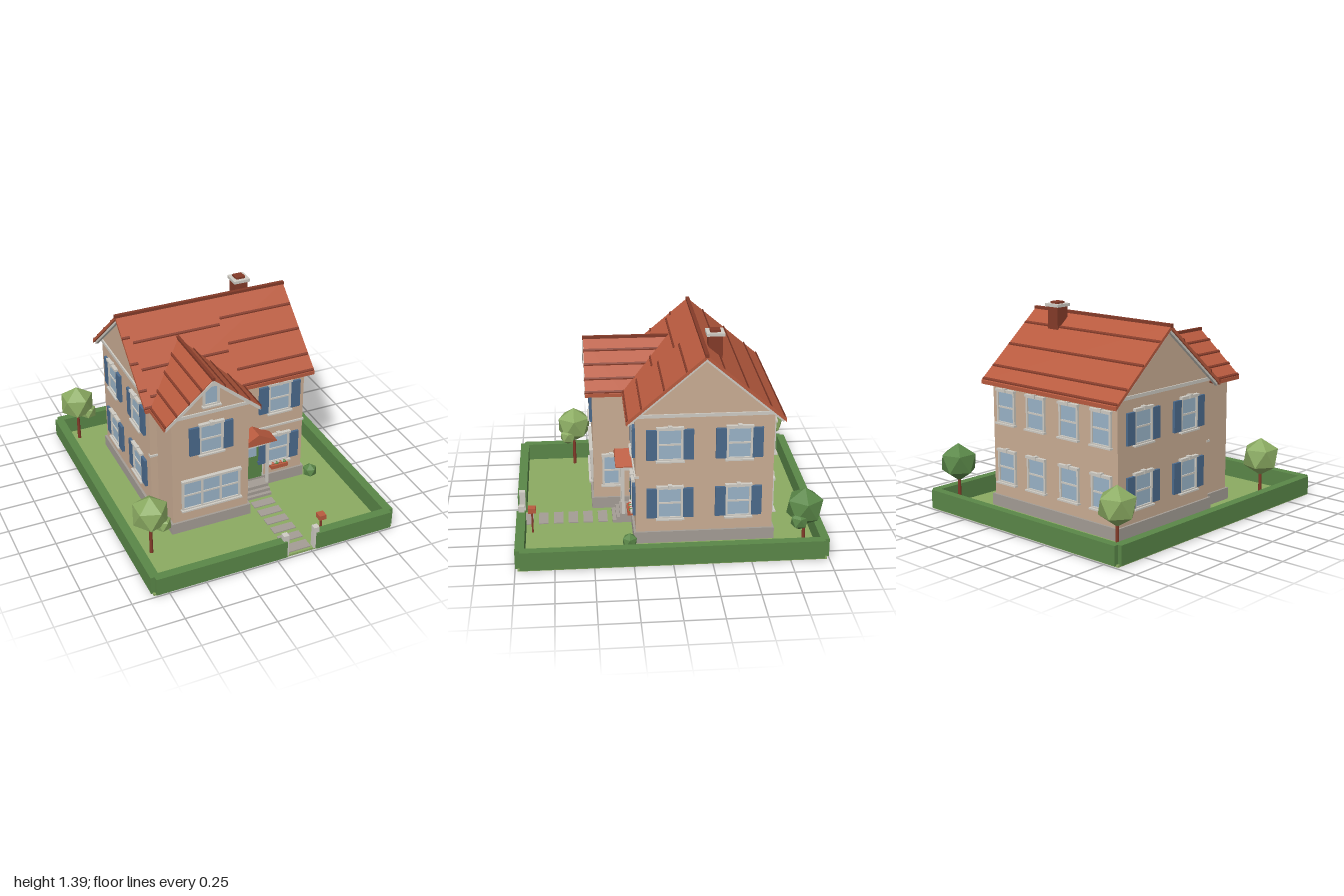
import * as THREE from 'three';

const mat = (name, color) => { const m = new THREE.MeshStandardMaterial({ color }); m.name = name; return m; };

export function createModel() {
  const M = {
    wall: mat('wall tan', 0xcaad94), trim: mat('trim white', 0xcfccc4), glass: mat('glass blue', 0x9ab4c8),
    shutter: mat('shutter blue', 0x4b6a8c), roof: mat('roof terracotta', 0xb95b3f), brick: mat('dark brick', 0x843b29),
    leaf: mat('hedge green', 0x5a8748), lawn: mat('lawn green', 0x8bab62), stone: mat('stone grey', 0xa49d95),
  };
  const model = new THREE.Group();
  model.name = 'house';
  const group = (name, parent = model) => { const g = new THREE.Group(); g.name = name; parent.add(g); return g; };
  const add = (parent, name, geo, m) => { const o = new THREE.Mesh(geo, m); o.name = name; parent.add(o); return o; };
  // box given by its min and max on each axis
  const box = (p, name, m, x0, x1, y0, y1, z0, z1) => {
    const o = add(p, name, new THREE.BoxGeometry(x1 - x0, y1 - y0, z1 - z0), m);
    o.position.set((x0 + x1) / 2, (y0 + y1) / 2, (z0 + z1) / 2);
    return o;
  };
  // sloped four-cornered slab: top corners, extended straight down by drop
  const slab = (p, name, m, corners, drop) => {
    let q = corners.map(c => new THREE.Vector3(...c));
    const n = q[1].clone().sub(q[0]).cross(q[2].clone().sub(q[0]));
    if (n.y < 0) q.reverse();
    const v = [...q, ...q.map(c => new THREE.Vector3(c.x, c.y - drop, c.z))];
    const idx = [0, 1, 2, 0, 2, 3, 4, 6, 5, 4, 7, 6];
    for (let i = 0; i < 4; i++) { const j = (i + 1) % 4; idx.push(i, i + 4, j + 4, i, j + 4, j); }
    const g = new THREE.BufferGeometry().setFromPoints(idx.map(i => v[i]));
    g.computeVertexNormals();
    return add(p, name, g, m);
  };
  // five-sided gable wall block, extruded along z
  const gable = (half, low, eave, apex, depth) => new THREE.ExtrudeGeometry(new THREE.Shape([
    [-half, low], [half, low], [half, eave], [0, apex], [-half, eave]].map(a => new THREE.Vector2(...a))),
  { depth, bevelEnabled: false });

  // Garden
  const garden = group('garden');
  box(garden, 'lawn', M.lawn, -0.85, 0.85, 0, 0.015, -0.985, 0.985);
  for (const s of [-1, 1]) box(garden, 'sideHedge', M.leaf, s * 0.832 - 0.03, s * 0.832 + 0.03, 0.01, 0.135, -0.97, 0.97);
  box(garden, 'backHedge', M.leaf, -0.835, 0.835, 0.01, 0.135, -1, -0.945);
  box(garden, 'frontHedge', M.leaf, -0.835, 0.068, 0.01, 0.135, 0.94, 1);
  box(garden, 'frontHedge', M.leaf, 0.28, 0.835, 0.01, 0.135, 0.94, 1);
  for (const x of [0.065, 0.283]) box(garden, 'gatePost', M.trim, x - 0.019, x + 0.019, 0.01, 0.175, 0.948, 0.988);
  for (let i = 0; i < 6; i++) box(garden, 'pathSlab', M.stone, 0.095, 0.254, 0.01, 0.022, 0.393 + i * 0.1, 0.457 + i * 0.1 + (i === 5 ? 0.012 : 0));
  box(garden, 'mailboxPost', M.brick, 0.355, 0.367, 0.01, 0.17, 0.89, 0.902);
  box(garden, 'mailbox', M.roof, 0.337, 0.386, 0.165, 0.2, 0.87, 0.922);

  // Trees: faceted crowns with a point upward
  const crown = (p, m, x, y, z, r) => {
    const g = new THREE.IcosahedronGeometry(r, 0).rotateZ(-Math.atan(2 / (1 + Math.sqrt(5))));
    add(p, 'crown', g, m).position.set(x, y, z);
  };
  for (const [x, z, y, m, bx] of [[-0.715, 0.6, 0.328, M.lawn, 0.065], [-0.72, -0.85, 0.32, M.lawn, 0.065],
    [0.725, -0.85, 0.32, M.leaf, 0.07]]) {
    const t = group('tree');
    add(t, 'trunk', new THREE.CylinderGeometry(0.01, 0.013, 0.24, 7), M.brick).position.set(x, 0.13, z);
    crown(t, m, x, y, z, 0.13);
    crown(t, m, x + bx, y - 0.065, z + 0.045, 0.062);
  }
  crown(group('bush'), M.leaf, 0.615, 0.06, 0.265, 0.053);

  // House walls and foundation
  const house = group('walls');
  box(house, 'foundation', M.stone, -0.575, 0.575, 0.01, 0.095, -0.685, 0.235);
  box(house, 'wingFoundation', M.stone, -0.525, 0.045, 0.01, 0.095, 0.1, 0.492);
  const main = add(house, 'mainWalls', gable(0.445, 0.09, 0.907, 1.285, 1.12), M.wall);
  main.rotation.y = Math.PI / 2;
  main.position.set(-0.56, 0, -0.225);
  add(house, 'wingWalls', gable(0.27, 0.09, 0.908, 1.135, 0.377), M.wall).position.set(-0.24, 0, 0.1);
  box(house, 'beltCourse', M.trim, -0.565, 0.565, 0.478, 0.492, 0.2, 0.23);
  for (const s of [-1, 1]) box(house, 'gableBand', M.trim, s * 0.563 - 0.007, s * 0.563 + 0.007, 0.895, 0.917, -0.67, 0.22);
  box(house, 'wingGableBand', M.trim, -0.51, 0.03, 0.893, 0.915, 0.47, 0.486);

  // Main roof with raised courses
  const roof = group('mainRoof');
  const top = z => 1.315 - 0.85 * Math.abs(z + 0.225);
  const strip = (p, name, m, x0, x1, z0, z1, lift, drop) => slab(p, name, m,
    [[x0, top(z0) + lift, z0], [x1, top(z0) + lift, z0], [x1, top(z1) + lift, z1], [x0, top(z1) + lift, z1]], drop);
  strip(roof, 'frontSlope', M.roof, -0.607, 0.605, -0.225, 0.28, 0, 0.025);
  strip(roof, 'backSlope', M.roof, -0.607, 0.605, -0.735, -0.225, 0, 0.025);
  for (const z of [-0.335, -0.487, -0.635, -0.725]) strip(roof, 'course', M.brick, -0.605, 0.6, z - 0.005, z + 0.005, 0.008, 0.02);
  for (const z of [-0.1, 0.04, 0.183, 0.272]) {
    strip(roof, 'course', M.brick, -0.607, -0.555, z - 0.005, z + 0.005, 0.008, 0.02);
    strip(roof, 'course', M.brick, 0.08, 0.602, z - 0.005, z + 0.005, 0.008, 0.02);
  }
  for (const z of [-0.068, 0.078, 0.22]) strip(roof, 'course', M.brick, -0.545, z < 0.1 ? 0.065 : -0.45, z - 0.005, z + 0.005, 0.008, 0.02);
  box(roof, 'ridgeCap', M.brick, -0.612, 0.61, 1.3, 1.324, -0.237, -0.213);
  for (const s of [-1, 1]) {
    const [a, b] = s > 0 ? [0.57, 0.595] : [-0.595, -0.57];
    strip(roof, 'rakeBoard', M.trim, a, b, -0.225, 0.265, -0.022, 0.022);
    strip(roof, 'rakeBoard', M.trim, a, b, -0.72, -0.225, -0.022, 0.022);
  }

  // Wing roof, cut along the valleys
  const wing = group('wingRoof');
  const wy = d => 1.165 - 0.84 * d;
  const run = (name, m, s, d0, d1, z, back, lift, drop) => slab(wing, name, m,
    [[d0, z], [d1, z], [d1, back(d1)], [d0, back(d0)]].map(([d, zz]) => [-0.24 + s * d, wy(d) + lift, zz]), drop);
  const valley = d => -0.06 + d;
  for (const s of [-1, 1]) {
    run('slope', M.roof, s, 0, 0.335, 0.522, valley, 0, 0.025);
    for (const d of [0.08, 0.165, 0.25, 0.328]) run('course', M.brick, s, d - 0.005, d + 0.005, 0.524, valley, 0.008, 0.02);
    run('rakeBoard', M.trim, s, 0, 0.325, 0.527, () => 0.5, -0.008, 0.026);
  }
  box(wing, 'ridgeCap', M.brick, -0.25, -0.23, 1.152, 1.176, -0.06, 0.527);

  // Chimney
  const chimney = group('chimney');
  const stack = (name, m, h, y0, y1) => box(chimney, name, m, 0.313 - h, 0.313 + h, y0, y1, -0.307 - h, -0.307 + h);
  stack('stack', M.brick, 0.046, 1.1, 1.36);
  stack('cap', M.trim, 0.058, 1.356, 1.376);
  stack('flue', M.brick, 0.033, 1.37, 1.39);

  // Windows: local front is +z; n panes side by side
  const win = (pos, ry, { w = 0.14, h = 0.2, n = 1, shutters = false, header = true } = {}) => {
    const g = group('window');
    g.position.set(...pos);
    g.rotation.y = ry;
    const W = n * (w + 0.014) - 0.014, b = 0.014;
    box(g, 'glass', M.glass, -W / 2, W / 2, -h / 2, h / 2, 0, 0.006);
    for (let i = 0; i <= n; i++) {
      const x = -W / 2 - b + i * (w + b);
      box(g, 'frameSide', M.trim, x, x + b, -h / 2, h / 2, 0, 0.016);
    }
    for (const s of [-1, 1]) box(g, 'frameRail', M.trim, -W / 2 - b, W / 2 + b, s * (h / 2 + 0.005) - 0.006, s * (h / 2 + 0.005) + 0.006, 0, 0.016);
    if (header) {
      box(g, 'crossBar', M.trim, -W / 2, W / 2, -0.006, 0.006, 0, 0.012);
      box(g, 'header', M.trim, -W / 2 - 0.018, W / 2 + 0.018, h / 2 + 0.006, h / 2 + 0.022, 0, 0.025);
      if (n === 1) box(g, 'keystone', M.trim, -0.013, 0.013, h / 2 + 0.004, h / 2 + 0.03, 0, 0.03);
    }
    box(g, 'sill', M.trim, -W / 2 - 0.022, W / 2 + 0.022, -h / 2 - 0.019, -h / 2 - 0.008, 0, 0.03);
    if (shutters) for (const s of [-1, 1]) {
      const c = s * (W / 2 + b + 0.034);
      box(g, 'shutter', M.shutter, c - 0.034, c + 0.034, -0.103, 0.103, 0, 0.018);
    }
  };
  const LOW = 0.3, UP = 0.71, F = 0.22;
  win([-0.24, UP, 0.477], 0, { shutters: true });
  win([-0.24, LOW, 0.477], 0, { w: 0.12, n: 3 });
  win([-0.24, 1.032, 0.477], 0, { w: 0.084, h: 0.125, header: false });
  win([0.03, LOW, 0.355], Math.PI / 2, { w: 0.095 });
  for (const y of [LOW, UP]) {
    win([0.375, y, F], 0, { shutters: true });
    for (const s of [-1, 1]) for (const z of [0, -0.445]) win([s * 0.56, y, z], s * Math.PI / 2, { shutters: true });
    for (const x of [-0.43, -0.15, 0.15, 0.43]) win([x, y, -0.67], Math.PI);
  }

  // Entrance: door, steps, columns and little gabled canopy
  const porch = group('porch');
  box(porch, 'doorFrame', M.trim, 0.083, 0.267, 0.09, 0.405, F, 0.228);
  box(porch, 'door', M.leaf, 0.097, 0.253, 0.08, 0.39, F, 0.234);
  box(porch, 'doorWindow', M.glass, 0.142, 0.206, 0.28, 0.35, 0.234, 0.238);
  box(porch, 'doorKnob', M.shutter, 0.216, 0.228, 0.218, 0.232, 0.234, 0.246);
  [0.31, 0.335, 0.36].forEach((z, i) => box(porch, 'step', M.stone, 0.08, 0.27, 0.01, 0.08 - i * 0.023, F, z));
  for (const x of [0.085, 0.265]) box(porch, 'column', M.trim, x - 0.009, x + 0.009, 0.08, 0.41, 0.278, 0.297);
  box(porch, 'lintel', M.trim, 0.07, 0.28, 0.405, 0.445, F, 0.305);
  const pediment = new THREE.ExtrudeGeometry(new THREE.Shape([[-0.135, 0.44], [0.135, 0.44], [0.135, 0.447], [0, 0.52], [-0.135, 0.447]]
    .map(a => new THREE.Vector2(...a))), { depth: 0.118, bevelEnabled: false });
  add(porch, 'canopy', pediment, M.roof).position.set(0.175, 0, F);

  // Flower box
  const planter = group('flowerBox');
  box(planter, 'trough', M.roof, 0.312, 0.437, 0.152, 0.18, F, 0.268);
  for (let i = 0; i < 4; i++) crown(planter, i % 2 ? M.leaf : M.roof, 0.33 + i * 0.03, 0.184, 0.247, 0.014);
  return model;
}
